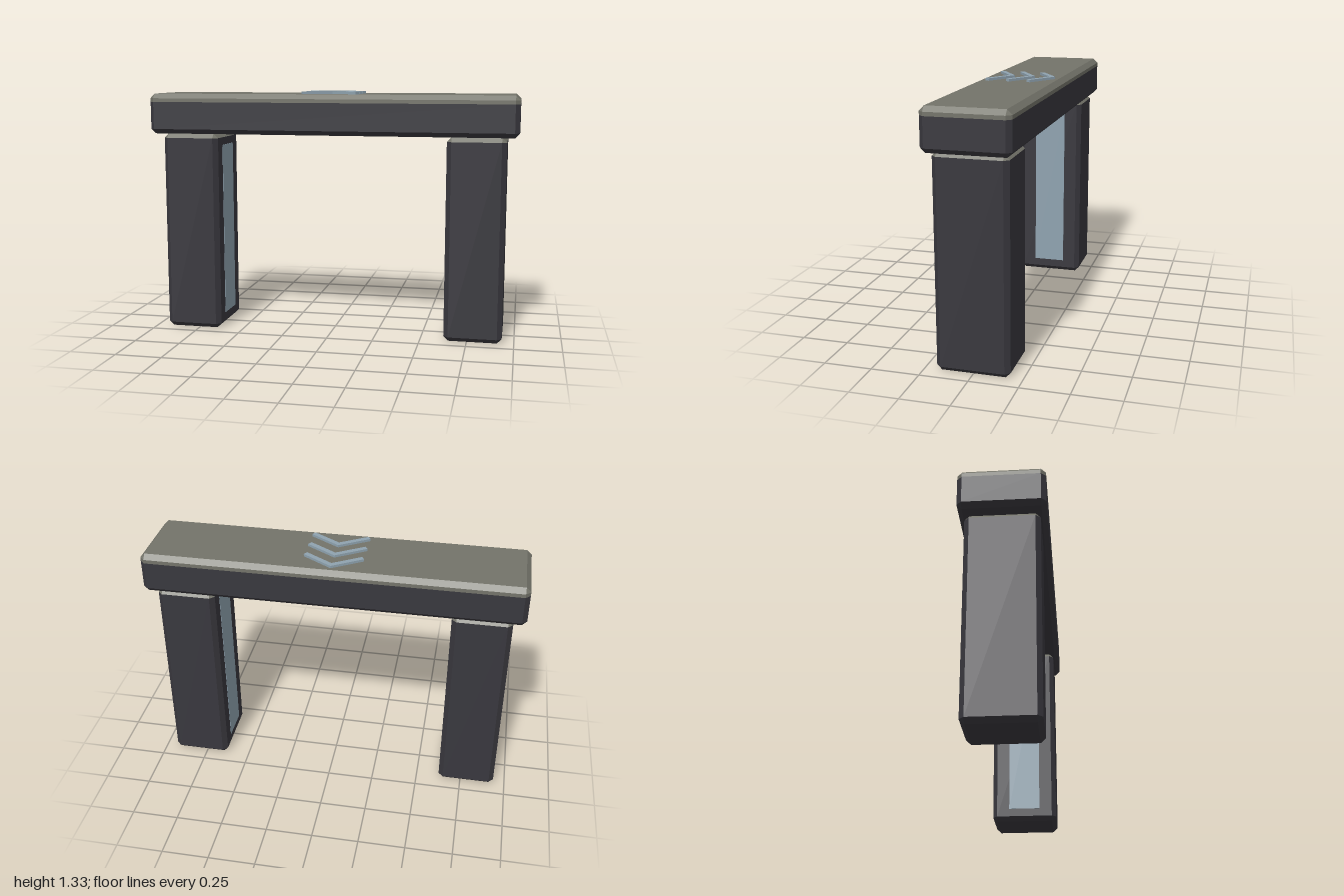
import * as THREE from 'three';

const CHAMFER = 0.025;
const dark = new THREE.MeshStandardMaterial({ color: 0x39383e, flatShading: true });
const stone = new THREE.MeshStandardMaterial({ color: 0x74746a, flatShading: true });
const glow = new THREE.MeshStandardMaterial({ color: 0x8fa3b0, flatShading: true });

// Horizontal ring of eight points; an inset ring collapses to the rectangle of an end face
function ring(x, z, y, inset) {
  const c = CHAMFER, points = [];
  [[1, 1], [1, -1], [-1, -1], [-1, 1]].forEach(([sx, sz], i) => {
    const alongZ = [sx * (x - c), y, sz * z];
    const alongX = [sx * x, y, sz * (z - c)];
    const corner = [sx * (x - c), y, sz * (z - c)];
    if (inset) points.push(corner, corner);
    else if (i % 2 === 0) points.push(alongZ, alongX);
    else points.push(alongX, alongZ);
  });
  return points;
}

// Skin the rings from bottom to top, closing the ends that are asked for
function loft(rings, closeBottom, closeTop) {
  const pos = [];
  const tri = (a, b, c) => pos.push(...a, ...b, ...c);
  for (let r = 0; r < rings.length - 1; r++) {
    const lo = rings[r], hi = rings[r + 1];
    for (let i = 0; i < 8; i++) {
      const j = (i + 1) % 8;
      if (lo[i] !== lo[j]) tri(lo[i], lo[j], hi[j]);
      if (hi[i] !== hi[j]) tri(lo[i], hi[j], hi[i]);
    }
  }
  const bottom = rings[0], top = rings[rings.length - 1];
  for (let i = 1; i < 7; i++) {
    if (closeBottom) tri(bottom[0], bottom[i + 1], bottom[i]);
    if (closeTop) tri(top[0], top[i], top[i + 1]);
  }
  const geometry = new THREE.BufferGeometry();
  geometry.setAttribute('position', new THREE.Float32BufferAttribute(pos, 3));
  geometry.computeVertexNormals();
  return geometry;
}

function addMesh(parent, name, geometry, material) {
  const mesh = new THREE.Mesh(geometry, material);
  mesh.name = name;
  parent.add(mesh);
  return mesh;
}

// Chamfered block: dark below the split height, light stone above it
function block(name, x, z, y0, y1, split) {
  const group = new THREE.Group();
  group.name = name;
  const c = CHAMFER;
  addMesh(group, name + 'Body', loft([
    ring(x, z, y0, true), ring(x, z, y0 + c, false), ring(x, z, split, false),
  ], true, false), dark);
  const cap = [ring(x, z, y1 - c, false), ring(x, z, y1, true)];
  if (split < y1 - c) cap.unshift(ring(x, z, split, false));
  addMesh(group, name + 'Cap', loft(cap, false, true), stone);
  return group;
}

export function createModel() {
  const model = new THREE.Group();
  model.name = 'archway';

  // Lintel across the top
  model.add(block('lintel', 1, 0.219, 1.097, 1.315, 1.27));

  // Legs, each with a light strip on its inner face
  for (const side of [-1, 1]) {
    const leg = block(side > 0 ? 'leftLeg' : 'rightLeg', 0.155, 0.1875, 0, 1.097, 1.097 - CHAMFER);
    leg.position.x = side * 0.781;
    const strip = addMesh(leg, 'lightStrip', new THREE.BoxGeometry(0.01, 0.96, 0.18), glow);
    strip.position.set(-side * 0.152, 0.55, 0);
    model.add(leg);
  }

  // Three raised chevrons pointing to the back
  const outline = [[0, 0.176], [-0.157, 0.077], [-0.143, 0.055], [0, 0.145], [0.143, 0.055], [0.157, 0.077]];
  const shape = new THREE.Shape(outline.map(([x, y]) => new THREE.Vector2(x, y)));
  const chevron = new THREE.ExtrudeGeometry(shape, { depth: 0.016, bevelEnabled: false });
  chevron.rotateX(-Math.PI / 2);
  for (let i = 0; i < 3; i++) {
    addMesh(model, 'chevron' + (i + 1), chevron, glow).position.set(0, 1.312, i * 0.112);
  }
  return model;
}
